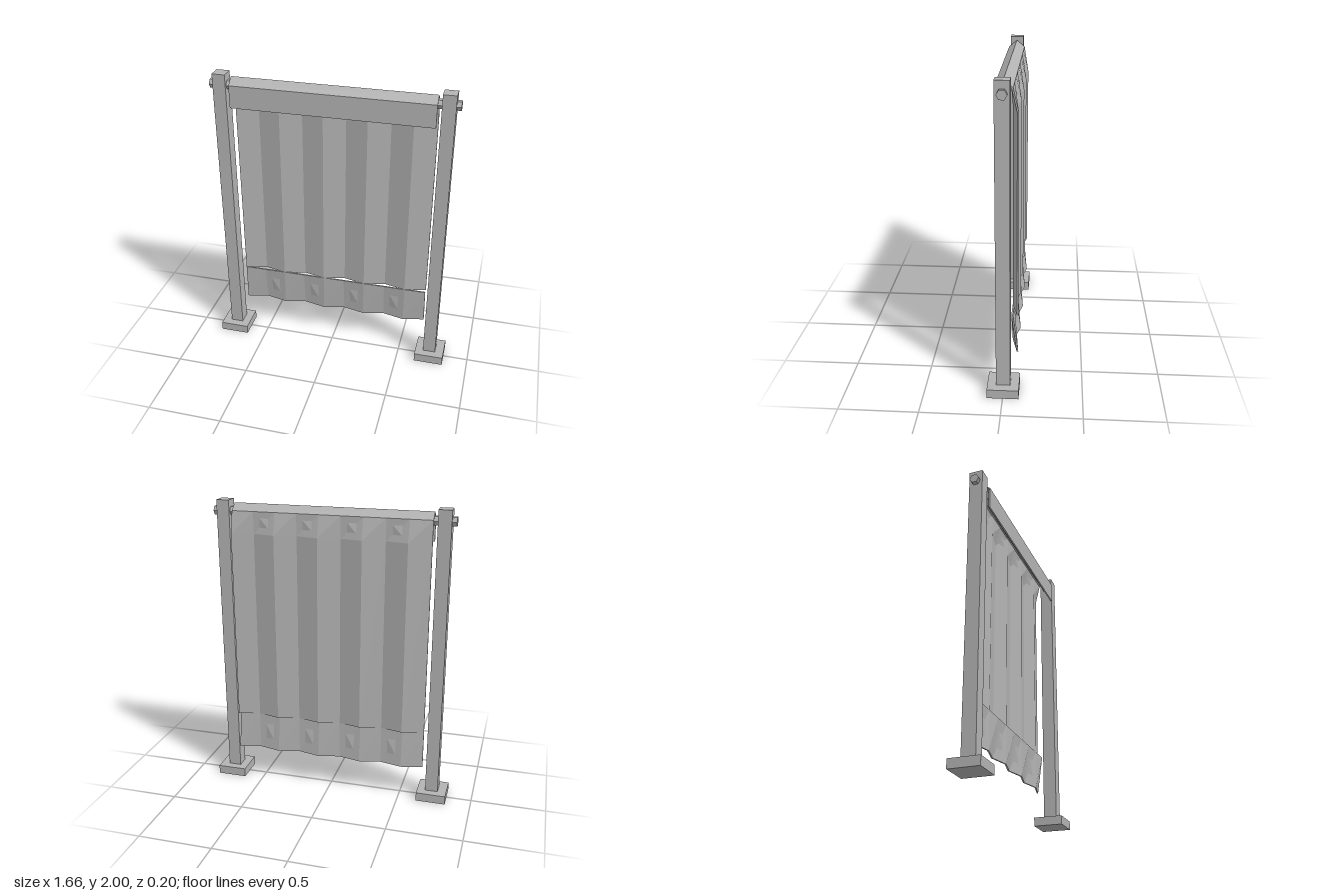
import * as THREE from 'three';

export function createModel() {
  const model = new THREE.Group();
  const grey = new THREE.MeshStandardMaterial({ color: 0xb4b4b4, flatShading: true });
  grey.name = 'plainGrey';
  grey.side = THREE.DoubleSide;

  const add = (name, geometry, x = 0, y = 0, z = 0) => {
    const mesh = new THREE.Mesh(geometry, grey);
    mesh.name = name;
    mesh.position.set(x, y, z);
    model.add(mesh);
    return mesh;
  };

  // Two posts on square feet
  for (const [side, s] of [['left', 1], ['right', -1]]) {
    add(side + 'Post', new THREE.BoxGeometry(0.086, 1.94, 0.09), s * 0.728, 1.03, 0);
    add(side + 'Foot', new THREE.BoxGeometry(0.2, 0.06, 0.2), s * 0.73, 0.03, 0);
  }

  // Hexagonal rod passing through both posts
  add('rod', new THREE.CylinderGeometry(0.032, 0.032, 1.6, 6).rotateZ(Math.PI / 2), 0, 1.925, 0);

  // Cloth folded over the rod, with a short flap at the front
  const halfWidth = 0.66;
  const fold = new THREE.Shape([
    [0.055, 1.785], [0.055, 1.935], [0, 1.98], [-0.055, 1.935],
    [-0.045, 1.932], [0, 1.968], [0.045, 1.932], [0.045, 1.785],
  ].map(([z, y]) => new THREE.Vector2(z, y)));
  const foldGeometry = new THREE.ExtrudeGeometry(fold, { depth: 2 * halfWidth, bevelEnabled: false });
  foldGeometry.translate(0, 0, -halfWidth).rotateY(-Math.PI / 2);
  add('foldedTop', foldGeometry);

  // A thin pleated cloth panel; each edge is either straight or zigzag
  const segments = 9, thickness = 0.01, flat = -0.045, ridge = -0.079;
  const straight = () => flat;
  const zigzag = (i) => (i % 2 ? ridge : flat);

  function clothPanel(topY, topZ, bottomY, bottomZ) {
    const positions = [];
    const quad = (a, b, c, d) => {
      for (const p of [a, b, c, a, c, d]) positions.push(...p);
    };
    const column = (i) => {
      const x = -halfWidth + (2 * halfWidth * i) / segments;
      return {
        ft: [x, topY, topZ(i)], bt: [x, topY, topZ(i) - thickness],
        fb: [x, bottomY, bottomZ(i)], bb: [x, bottomY, bottomZ(i) - thickness],
      };
    };
    for (let i = 0; i < segments; i++) {
      const l = column(i), r = column(i + 1);
      quad(l.fb, r.fb, r.ft, l.ft); // front
      quad(r.bb, l.bb, l.bt, r.bt); // back
      quad(l.ft, r.ft, r.bt, l.bt); // upper edge
      quad(l.bb, r.bb, r.fb, l.fb); // lower edge
    }
    const l = column(0), r = column(segments);
    quad(l.bb, l.fb, l.ft, l.bt);
    quad(r.fb, r.bb, r.bt, r.ft);
    const geometry = new THREE.BufferGeometry();
    geometry.setAttribute('position', new THREE.Float32BufferAttribute(positions, 3));
    geometry.computeVertexNormals();
    return geometry;
  }

  // Gathered top, long pleats and flared hem
  add('gatheredTop', clothPanel(1.935, straight, 1.79, zigzag));
  add('pleatedCurtain', clothPanel(1.79, zigzag, 0.5, zigzag));
  add('hem', clothPanel(0.5, straight, 0.24, zigzag));

  return model;
}
